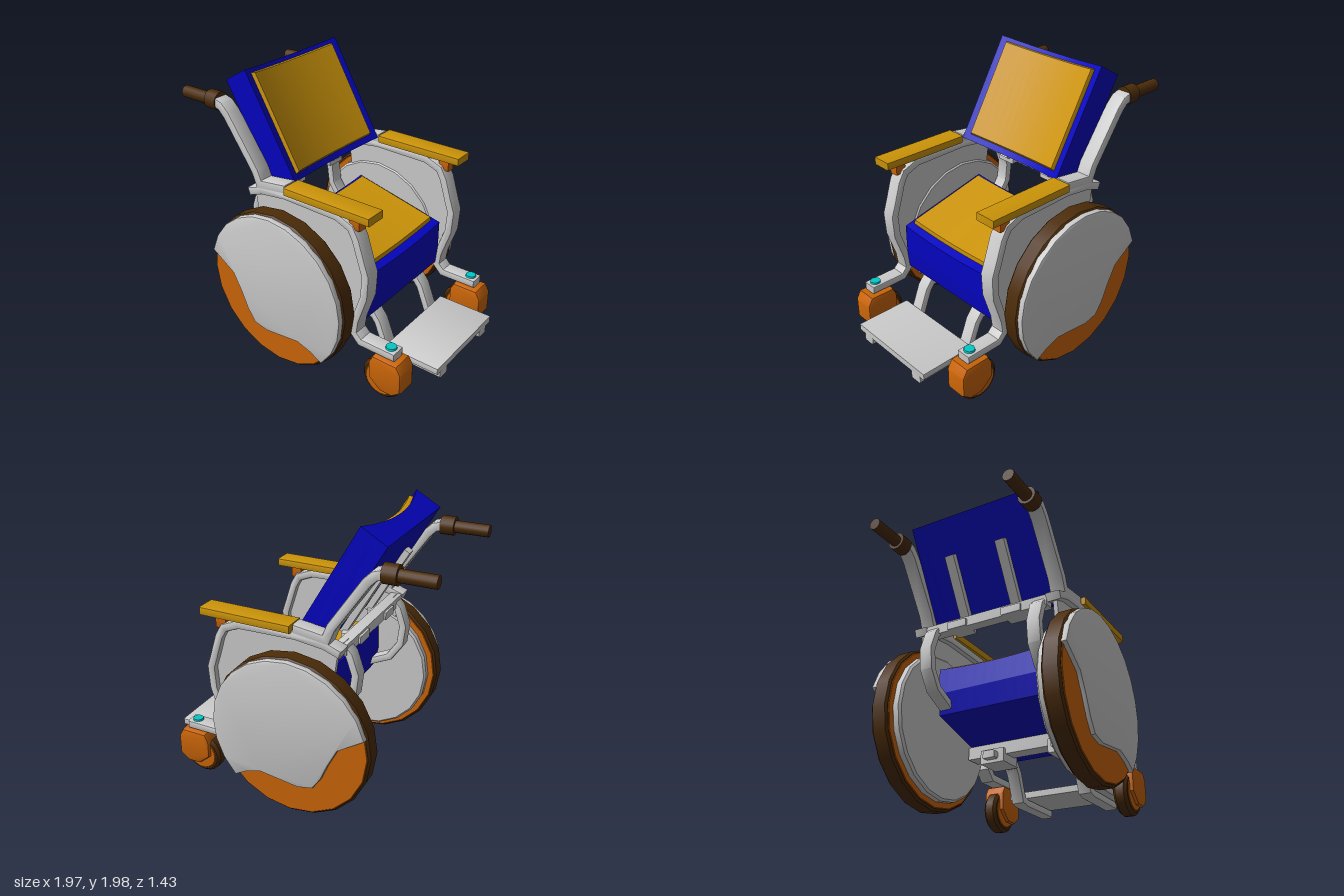
import * as THREE from 'three';
import { toCreasedNormals } from 'three/addons/utils/BufferGeometryUtils.js';

const mat = (name, color) => {
  const m = new THREE.MeshStandardMaterial({ color });
  m.name = name;
  return m;
};

export function createModel() {
  const root = new THREE.Group();
  root.name = 'wheelchair';
  const grey = mat('light grey', 0xcccccc), brown = mat('dark brown', 0x4c2c08), blue = mat('blue', 0x0404c0);
  const yellow = mat('mustard', 0xcc9408), orange = mat('orange', 0xcc6608), teal = mat('teal', 0x04c8c8);

  const add = (name, geo, material, x = 0, y = 0, z = 0, parent = root) => {
    const m = new THREE.Mesh(geo, material);
    m.name = name;
    m.position.set(x, y, z);
    parent.add(m);
    return m;
  };

  // Side outline extruded to width w, centred on z, with bevelled rims
  const plate = (name, pts, w, z, m, bevel = 0.015) => {
    const shape = new THREE.Shape(pts.map(p => new THREE.Vector2(p[0], p[1])));
    const g = new THREE.ExtrudeGeometry(shape, {
      depth: w - 2 * bevel, bevelEnabled: bevel > 0, bevelThickness: bevel,
      bevelSize: bevel, bevelOffset: -bevel, bevelSegments: 2,
    });
    g.translate(0, 0, -w / 2 + bevel);
    return add(name, toCreasedNormals(g, 0.6), m, 0, 0, z);
  };
  const block = (name, m, x0, x1, y0, y1, z, w) =>
    plate(name, [[x0, y0], [x1, y0], [x1, y1], [x0, y1]], w, z, m, 0.008);

  // Flat bar of thickness t following a path in the side plane
  const bar = (name, path, t, w, z) => {
    const p = path.map(a => new THREE.Vector2(a[0], a[1]));
    const left = [], right = [];
    p.forEach((c, i) => {
      const a = c.clone().sub(p[Math.max(i - 1, 0)]).normalize();
      const b = p[Math.min(i + 1, p.length - 1)].clone().sub(c).normalize();
      const d = a.clone().add(b).normalize();
      const n = new THREE.Vector2(-d.y, d.x);
      const along = i ? a : b;
      const k = t / 2 / Math.max(0.5, n.dot(new THREE.Vector2(-along.y, along.x)));
      left.push([c.x + n.x * k, c.y + n.y * k]);
      right.unshift([c.x - n.x * k, c.y - n.y * k]);
    });
    return plate(name, [...right, ...left], w, z, grey, 0.014);
  };

  // Turned part about the z axis, from [radius, offset] points
  const turned = (name, profile, sides, m, x, y, z) => {
    const g = new THREE.LatheGeometry(profile.map(q => new THREE.Vector2(q[0], q[1])), sides);
    g.rotateX(Math.PI / 2);
    return add(name, g, m, x, y, z);
  };
  const disc = (r, h, c) => [[0, -h], [r - c, -h], [r - c, -h], [r, c - h], [r, c - h], [r, h - c], [r, h - c], [r - c, h], [r - c, h], [0, h]];

  // Slab whose surface is hollowed across its width
  const hollow = (x0, x1, y0, y1, half, dip, bendBase, taper) => {
    const g = new THREE.BoxGeometry(x1 - x0, y1 - y0, half * 2, 1, 2, 14);
    const p = g.attributes.position, top = (y1 - y0) / 2;
    for (let i = 0; i < p.count; i++) {
      const z = p.getZ(i), y = p.getY(i);
      const share = bendBase ? 1 : (y + top) / (2 * top);
      p.setY(i, y - dip * (1 - (z / 0.46) ** 2) * share);
      if (y > top - 1e-4) {
        p.setX(i, p.getX(i) - Math.sign(p.getX(i)) * taper);
        p.setZ(i, z * (1 - taper / half));
      }
    }
    g.translate((x0 + x1) / 2, (y0 + y1) / 2, 0);
    g.computeVertexNormals();
    return g;
  };

  // Reclined backrest
  const back = new THREE.Group();
  back.name = 'backrest';
  back.position.set(-0.48, 1.995, 0);
  back.rotation.z = -Math.PI / 3;
  root.add(back);
  add('backrestShell', hollow(0, 0.78, -0.2, 0, 0.46, 0.075, false, 0), blue, 0, 0, 0, back);
  add('backrestCushion', hollow(0.03, 0.735, -0.02, 0.024, 0.405, 0.07, true, 0.01), yellow, 0, 0, 0, back);
  for (const s of [-1, 1]) {
    add('backrestStrut', new THREE.BoxGeometry(0.54, 0.05, 0.07), grey, 0.53, -0.218, s * 0.2, back);
    block('strutBracket', grey, -0.425, -0.28, 1.155, 1.21, s * 0.21, 0.15);
  }
  block('rearCrossbar', grey, -0.41, -0.33, 1.155, 1.227, 0, 0.94);

  // Seat body, sloping down to the front with a slightly hollow top
  const seatShape = new THREE.Shape([[-0.24, 0.97], [-0.25, 0.78], [-0.22, 0.63], [0.45, 0.455], [0.465, 0.595], [0.465, 0.8]]
    .map(p => new THREE.Vector2(...p)));
  const seatGeo = new THREE.ExtrudeGeometry(seatShape, { depth: 0.92, steps: 12, bevelEnabled: false });
  seatGeo.translate(0, 0, -0.46);
  const sp = seatGeo.attributes.position;
  for (let i = 0; i < sp.count; i++) {
    if (sp.getY(i) > 0.79) sp.setY(i, sp.getY(i) - 0.025 * (1 - (sp.getZ(i) / 0.46) ** 2));
  }
  seatGeo.computeVertexNormals();
  add('seatBody', seatGeo, blue);
  add('seatCushion', hollow(0.03, 0.67, -0.01, 0.035, 0.425, 0.025, true, 0.008), yellow, -0.24, 0.97)
    .rotation.z = -Math.atan2(0.17, 0.7);
  block('underSeatBar', grey, 0.18, 0.3, 0.43, 0.52, 0, 0.96);

  // Footrest
  block('footplate', grey, 0.575, 0.983, 0.21, 0.257, 0, 0.72);

  const wx = -0.105, wy = 0.586;
  // Wheel cover: arc over the top, wavy lower edge
  const cover = [[-0.467, 0.61], [-0.4, 0.48], [-0.35, 0.36], [-0.29, 0.27], [-0.18, 0.245], [0.1, 0.28], [0.21, 0.245]];
  for (let i = 0; i <= 14; i++) {
    const a = THREE.MathUtils.degToRad(-44 + 209 * i / 14);
    cover.push([wx + 0.563 * Math.cos(a), wy + 0.563 * Math.sin(a)]);
  }
  const loop = [[-0.41, 1.2], [-0.3, 1.24], [-0.1, 1.265], [0.32, 1.255], [0.43, 1.21], [0.47, 1.14], [0.52, 0.98],
    [0.547, 0.9], [0.537, 0.74], [0.47, 0.54], [0.455, 0.44], [0.51, 0.382], [0.78, 0.382]];

  for (const s of [-1, 1]) {
    const z = s * 0.515;
    // Drive wheel
    turned('tyre', disc(0.574, 0.063, 0.014), 20, brown, wx, wy, s * 0.617);
    turned('wheelDisc', disc(0.556, 0.068, 0.004), 20, orange, wx, wy, s * 0.617);
    turned('innerHubDisc', disc(0.515, 0.035, 0.015), 20, grey, wx, wy, s * 0.525);
    plate('wheelCover', cover, 0.05, s * 0.69, grey, 0.012);

    // Side frame
    bar('sideFrame', loop, 0.058, 0.11, z);
    plate('sidePanel', [[-0.38, 1.2], [-0.3, 0.6], [0.4, 0.5], ...loop.slice(1, 10).reverse()], 0.03, z, grey, 0);
    bar('pushHandleTube', [[-0.67, 1.765], [-0.62, 1.75], [-0.57, 1.7], [-0.345, 1.37], [-0.31, 1.28], [-0.08, 1.31]], 0.065, 0.11, z);
    bar('rearTube', [[-0.36, 1.21], [-0.42, 1.15], [-0.465, 1.02], [-0.45, 0.88], [-0.37, 0.76], [-0.2, 0.68]], 0.055, 0.1, s * 0.41);

    // Push handle
    const grip = new THREE.CylinderGeometry(0.042, 0.042, 0.25, 14).rotateZ(Math.PI / 2);
    add('grip', grip, brown, -0.86, 1.76, z);
    const collar = new THREE.CylinderGeometry(0.064, 0.064, 0.095, 14).rotateZ(Math.PI / 2);
    add('gripCollar', collar, brown, -0.705, 1.762, z);

    // Armrest
    block('armrest', yellow, -0.075, 0.59, 1.285, 1.34, s * 0.52, 0.152);
    block('armrestPost', orange, 0.415, 0.495, 1.2, 1.29, s * 0.52, 0.075);

    // Caster
    turned('casterTyre', disc(0.149, 0.05, 0.02), 20, brown, 0.68, 0.162, z);
    turned('casterDisc', disc(0.115, 0.054, 0.004), 20, orange, 0.68, 0.162, z);
    plate('casterHousing', [[0.63, 0.345], [0.6, 0.29], [0.6, 0.165], [0.69, 0.088], [0.785, 0.088], [0.85, 0.14], [0.85, 0.285], [0.815, 0.345]],
      0.162, z, orange, 0.02);
    add('casterPin', new THREE.CylinderGeometry(0.036, 0.036, 0.09, 16), teal, 0.725, 0.372, z);
    add('casterPinCap', new THREE.CylinderGeometry(0.036, 0.04, 0.025, 16), teal, 0.725, 0.412, z);

    // Footrest arm and its mount
    bar('footrestArm', [[0.1, 0.42], [0.43, 0.42], [0.47, 0.37], [0.54, 0.19], [0.59, 0.178], [0.98, 0.178]], 0.055, 0.1, s * 0.265);
    block('footrestMount', grey, 0.15, 0.35, 0.37, 0.47, s * 0.265, 0.19);
  }
  return root;
}
